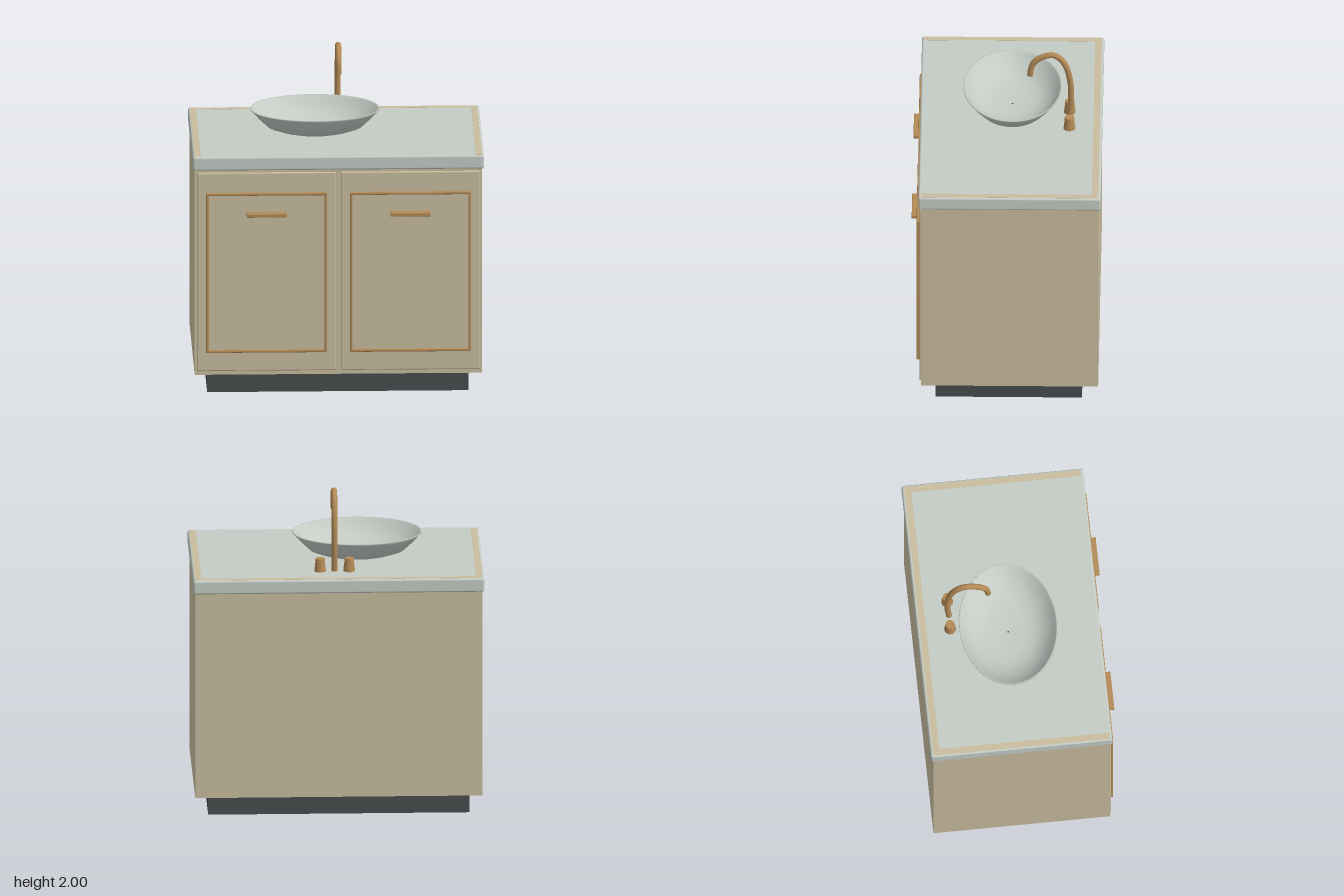
import * as THREE from 'three';
import { RoundedBoxGeometry } from 'three/addons/geometries/RoundedBoxGeometry.js';

const mat = (name, color) => {
  const m = new THREE.MeshStandardMaterial({ color });
  m.name = name;
  return m;
};

export function createModel() {
  const cream = mat('cream', 0xc9bd9f);
  const stone = mat('stone', 0xc4ccc5);
  const brass = mat('brass', 0xb38a56);
  const charcoal = mat('charcoal', 0x474c4d);
  const model = new THREE.Group();
  model.name = 'sinkCabinet';

  const add = (name, geometry, material, x = 0, y = 0, z = 0) => {
    const mesh = new THREE.Mesh(geometry, material);
    mesh.name = name;
    mesh.position.set(x, y, z);
    model.add(mesh);
    return mesh;
  };
  // Box given by its limits on each axis, optionally with rounded edges
  const box = (name, material, [x0, x1], [y0, y1], [z0, z1], r = 0) => {
    const size = [x1 - x0, y1 - y0, z1 - z0];
    const geo = r ? new RoundedBoxGeometry(...size, 3, r) : new THREE.BoxGeometry(...size);
    return add(name, geo, material, (x0 + x1) / 2, (y0 + y1) / 2, (z0 + z1) / 2);
  };

  // Cabinet body, plinth and worktop
  box('plinth', charcoal, [-0.796, 0.788], [0, 0.135], [-0.461, 0.427]);
  box('cabinetBody', cream, [-0.874, 0.869], [0.135, 1.43], [-0.56, 0.515]);
  box('countertop', stone, [-0.884, 0.88], [1.425, 1.51], [-0.575, 0.53], 0.012);

  // Panel edges showing flush in the worktop
  const flush = [1.507, 1.511];
  box('leftInlay', cream, [0.83, 0.869], flush, [-0.56, 0.515]);
  box('rightInlay', cream, [-0.874, -0.835], flush, [-0.56, 0.515]);
  box('backInlay', cream, [-0.835, 0.83], flush, [-0.56, -0.52]);

  // Rectangular trim with bevelled edges
  const rect = (path, w, h) => {
    path.moveTo(-w, -h);
    path.lineTo(w, -h);
    path.lineTo(w, h);
    path.lineTo(-w, h);
    path.closePath();
    return path;
  };
  const bevel = 0.005;
  const frame = rect(new THREE.Shape(), 0.367 - bevel, 0.503 - bevel);
  frame.holes.push(rect(new THREE.Path(), 0.351 + bevel, 0.487 + bevel));
  const frameGeo = new THREE.ExtrudeGeometry(frame, {
    depth: 0.016, bevelEnabled: true, bevelSize: bevel, bevelThickness: bevel, bevelSegments: 2,
  });

  // Doors with trim and handle
  for (const side of [-1, 1]) {
    const label = side > 0 ? 'left' : 'right';
    const x = side * 0.436 - 0.002;
    box(label + 'Door', cream, [x - 0.422, x + 0.422], [0.16, 1.41], [0.495, 0.525], 0.008);
    add(label + 'DoorTrim', frameGeo, brass, x, 0.782, 0.522);
    box(label + 'DoorHandle', brass, [x - 0.121, x + 0.121], [1.14, 1.163], [0.52, 0.575], 0.004);
  }

  // Oval vessel basin: outside up to the rim, then down the inside
  const profile = [
    [0, 1.509], [0.16, 1.511], [0.225, 1.527], [0.29, 1.55], [0.345, 1.602], [0.38, 1.641],
    [0.392, 1.653], [0.39, 1.659], [0.382, 1.657], [0.37, 1.64], [0.335, 1.605],
    [0.285, 1.566], [0.22, 1.541], [0.14, 1.529], [0, 1.525],
  ].map(([r, y]) => new THREE.Vector2(r, y));
  const basin = add('basin', new THREE.LatheGeometry(profile, 64), stone, -0.13, 0, -0.028);
  basin.scale.z = 0.76;
  add('drain', new THREE.CylinderGeometry(0.005, 0.005, 0.004, 12), charcoal, -0.13, 1.525, -0.028);

  // Swan neck spout
  const spoutX = 0.018;
  const path = new THREE.CatmullRomCurve3([
    [1.505, -0.374], [1.65, -0.384], [1.78, -0.381], [1.89, -0.358], [1.955, -0.32],
    [1.982, -0.275], [1.97, -0.215], [1.935, -0.165], [1.895, -0.145], [1.835, -0.136],
  ].map(([y, z]) => new THREE.Vector3(spoutX, y, z)));
  add('spout', new THREE.TubeGeometry(path, 48, 0.018, 16), brass);
  const tip = add('spoutTip', new THREE.CircleGeometry(0.018, 16), brass, spoutX, 1.835, -0.136);
  tip.rotation.x = Math.PI / 2;
  tip.material = brass;

  // Tap knobs either side of the spout
  for (const side of [-1, 1]) {
    const label = side > 0 ? 'left' : 'right';
    const x = spoutX + side * 0.088;
    add(label + 'TapBase', new THREE.CylinderGeometry(0.028, 0.036, 0.065, 24), brass, x, 1.542, -0.376);
    add(label + 'TapCap', new THREE.CylinderGeometry(0.028, 0.03, 0.016, 24), brass, x, 1.582, -0.376);
  }
  return model;
}
